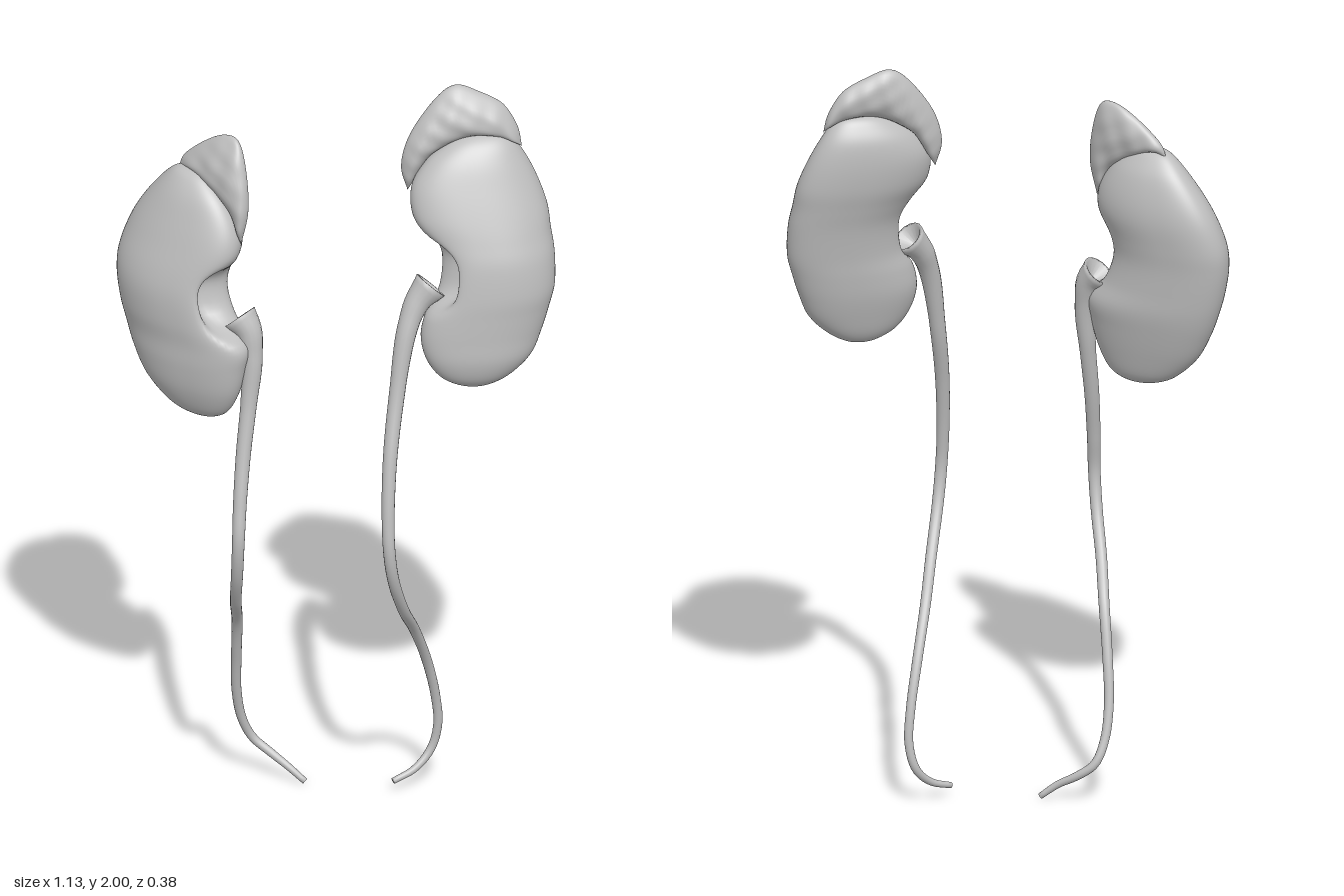
import * as THREE from 'three';

const tissue = new THREE.MeshStandardMaterial({ color: 0xbfbfbf });
tissue.name = 'grey tissue';

// Skin a list of closed rings of points; faces are turned outward by signed volume
function loft(name, rings) {
  const n = rings[0].length, pos = [], index = [];
  rings.forEach(r => r.forEach(p => pos.push(p.x, p.y, p.z)));
  for (let i = 0; i < rings.length - 1; i++) {
    for (let j = 0; j < n; j++) {
      const a = i * n + j, b = i * n + (j + 1) % n;
      index.push(a, b, a + n, b, b + n, a + n);
    }
  }
  const pts = rings.flat();
  let volume = 0;
  for (let k = 0; k < index.length; k += 3) {
    volume += pts[index[k]].dot(pts[index[k + 1]].clone().cross(pts[index[k + 2]]));
  }
  if (volume < 0) index.reverse();
  const g = new THREE.BufferGeometry();
  g.setAttribute('position', new THREE.Float32BufferAttribute(pos, 3));
  g.setIndex(index);
  g.computeVertexNormals();
  const mesh = new THREE.Mesh(g, tissue);
  mesh.name = name;
  return mesh;
}

// Smoothly interpolate rows of five numbers
function smoothRows(rows, steps) {
  const first = new THREE.CatmullRomCurve3(rows.map(r => new THREE.Vector3(r[0], r[1], r[2])), false, 'catmullrom');
  const rest = new THREE.CatmullRomCurve3(rows.map(r => new THREE.Vector3(r[3], r[4], 0)), false, 'catmullrom');
  return Array.from({ length: steps + 1 }, (_, i) => {
    const a = first.getPoint(i / steps), b = rest.getPoint(i / steps);
    return [a.x, a.y, a.z, b.x, b.y];
  });
}

const around = (n, fn) => Array.from({ length: n }, (_, j) => fn(j / n * Math.PI * 2));
const blunt = v => Math.sign(v) * Math.abs(v) ** 0.88;

// Kidney rows: height, inner x, outer x, depth centre, half thickness
function kidney(name, rows, shear, hilumY) {
  return loft(name, smoothRows(rows, 72).map(([y, inner, outer, zc, b]) => {
    const xc = (inner + outer) / 2, a = (inner - outer) / 2;
    return around(72, t => {
      // hollow of the hilum, on the inner edge and a little to the front
      const off = (t > Math.PI ? t - Math.PI * 2 : t) - 0.4;
      const dent = 0.075 * Math.exp(-(((y - hilumY) / 0.08) ** 4)) * Math.exp(-((off / 0.42) ** 2));
      const x = xc + a * blunt(Math.cos(t)) - Math.sign(a) * dent;
      return new THREE.Vector3(x, y, zc + shear * (x - xc) + Math.max(b, 0) * blunt(Math.sin(t)));
    });
  }));
}

// Gland rows: upper x, upper y, lower x, lower y, half thickness; the upper edge leans back
function gland(name, rows, zAt) {
  return loft(name, smoothRows(rows, 48).map(([ux, uy, lx, ly, h]) => around(36, t => {
    const v = 0.5 - 0.5 * Math.cos(t);
    const x = lx + (ux - lx) * v, y = ly + (uy - ly) * v;
    const wrinkle = 1 + 0.08 * Math.sin(x * 85 + y * 40) * Math.sin(y * 70 - x * 25);
    const lean = 0.2 * (uy - ly) * v;
    return new THREE.Vector3(x, y, zAt(x) - lean + Math.max(h, 0) * Math.sin(t) * (1.15 - 0.5 * v) * wrinkle);
  })));
}

// Ureter: open funnel at the hilum, tapering along a curve
function ureter(name, points) {
  const curve = new THREE.CatmullRomCurve3(points.map(p => new THREE.Vector3(...p)), false, 'centripetal');
  const radii = [[0, 0.046], [0.025, 0.035], [0.06, 0.028], [0.16, 0.021], [0.4, 0.016], [0.75, 0.013], [0.92, 0.011], [1, 0.008]];
  const steps = 110, frames = curve.computeFrenetFrames(steps);
  const ring = (i, r) => {
    const c = curve.getPointAt(i / steps);
    return around(16, t => c.clone()
      .addScaledVector(frames.normals[i], r * Math.cos(t))
      .addScaledVector(frames.binormals[i], r * Math.sin(t)));
  };
  const rings = [ring(3, 0), ring(0, 0.038)];
  for (let i = 0; i <= steps; i++) {
    const u = i / steps;
    const k = Math.max(1, radii.findIndex(r => r[0] >= u));
    const [u0, r0] = radii[k - 1], [u1, r1] = radii[k];
    rings.push(ring(i, THREE.MathUtils.mapLinear(u, u0, u1, r0, r1)));
  }
  rings.push(ring(steps, 0));
  return loft(name, rings);
}

export function createModel() {
  const model = new THREE.Group();
  model.name = 'kidneys';

  // Left side (+x)
  model.add(kidney('leftKidney', [
    [1.217, 0.375, 0.375, -0.01, 0], [1.222, 0.335, 0.415, -0.008, 0.03], [1.25, 0.285, 0.465, -0.006, 0.056],
    [1.3, 0.25, 0.512, -0.01, 0.074], [1.36, 0.235, 0.535, -0.02, 0.084], [1.42, 0.245, 0.552, -0.03, 0.09],
    [1.48, 0.265, 0.565, -0.04, 0.094], [1.56, 0.268, 0.562, -0.054, 0.097], [1.62, 0.244, 0.55, -0.067, 0.097],
    [1.68, 0.205, 0.538, -0.08, 0.095], [1.75, 0.2, 0.51, -0.095, 0.085], [1.81, 0.235, 0.478, -0.108, 0.069],
    [1.85, 0.285, 0.45, -0.116, 0.046], [1.87, 0.33, 0.42, -0.122, 0.024], [1.875, 0.375, 0.375, -0.122, 0],
  ], -0.26, 1.53));
  model.add(gland('leftAdrenalGland', [
    [0.185, 1.72, 0.185, 1.72, 0], [0.168, 1.79, 0.205, 1.755, 0.028], [0.19, 1.875, 0.24, 1.815, 0.042],
    [0.25, 1.965, 0.29, 1.85, 0.046], [0.3, 2, 0.335, 1.867, 0.046], [0.36, 1.98, 0.38, 1.87, 0.044],
    [0.42, 1.945, 0.42, 1.863, 0.038], [0.457, 1.885, 0.453, 1.847, 0.026], [0.47, 1.833, 0.47, 1.833, 0],
  ], x => -0.108 - 0.25 * (x - 0.32)));
  model.add(ureter('leftUreter', [
    [0.258, 1.493, 0.005], [0.226, 1.452, 0.025], [0.203, 1.38, 0.052], [0.182, 1.2, 0.092],
    [0.173, 1.05, 0.135], [0.173, 0.9, 0.165], [0.178, 0.8, 0.173], [0.186, 0.71, 0.15], [0.2, 0.6, 0.08],
    [0.212, 0.5, -0.02], [0.23, 0.38, -0.1], [0.246, 0.26, -0.143], [0.25, 0.17, -0.157], [0.232, 0.1, -0.155],
    [0.195, 0.055, -0.125], [0.145, 0.033, -0.09],
  ]));

  // Right side (-x)
  model.add(kidney('rightKidney', [
    [1.1, -0.335, -0.335, 0.03, 0], [1.105, -0.295, -0.375, 0.03, 0.028], [1.13, -0.255, -0.43, 0.027, 0.055],
    [1.19, -0.225, -0.488, 0.022, 0.08], [1.26, -0.208, -0.522, 0.014, 0.097], [1.32, -0.2, -0.542, 0.006, 0.106],
    [1.38, -0.236, -0.558, -0.004, 0.112], [1.45, -0.258, -0.568, -0.014, 0.115], [1.51, -0.252, -0.564, -0.022, 0.114],
    [1.58, -0.228, -0.54, -0.027, 0.107], [1.64, -0.235, -0.508, -0.03, 0.094], [1.7, -0.268, -0.465, -0.032, 0.073],
    [1.74, -0.31, -0.43, -0.034, 0.046], [1.757, -0.34, -0.405, -0.035, 0.024], [1.762, -0.372, -0.372, -0.035, 0],
  ], 0.42, 1.44));
  model.add(gland('rightAdrenalGland', [
    [-0.408, 1.745, -0.408, 1.745, 0], [-0.39, 1.785, -0.372, 1.755, 0.025], [-0.33, 1.84, -0.325, 1.733, 0.042],
    [-0.275, 1.871, -0.288, 1.705, 0.046], [-0.237, 1.862, -0.262, 1.68, 0.045], [-0.215, 1.79, -0.247, 1.655, 0.04],
    [-0.207, 1.69, -0.236, 1.622, 0.03], [-0.225, 1.597, -0.225, 1.597, 0],
  ], x => 0.02 + 0.72 * (x + 0.28)));
  model.add(ureter('rightUreter', [
    [-0.23, 1.388, 0.052], [-0.206, 1.358, 0.062], [-0.194, 1.28, 0.074], [-0.2, 1.17, 0.088],
    [-0.21, 1.03, 0.118], [-0.214, 0.9, 0.15], [-0.215, 0.8, 0.168], [-0.222, 0.7, 0.145], [-0.235, 0.6, 0.085],
    [-0.245, 0.5, 0.0], [-0.255, 0.38, -0.05], [-0.26, 0.26, -0.085], [-0.25, 0.17, -0.112], [-0.225, 0.11, -0.13],
    [-0.18, 0.075, -0.125], [-0.13, 0.045, -0.108], [-0.085, 0.01, -0.1],
  ]));
  return model;
}
